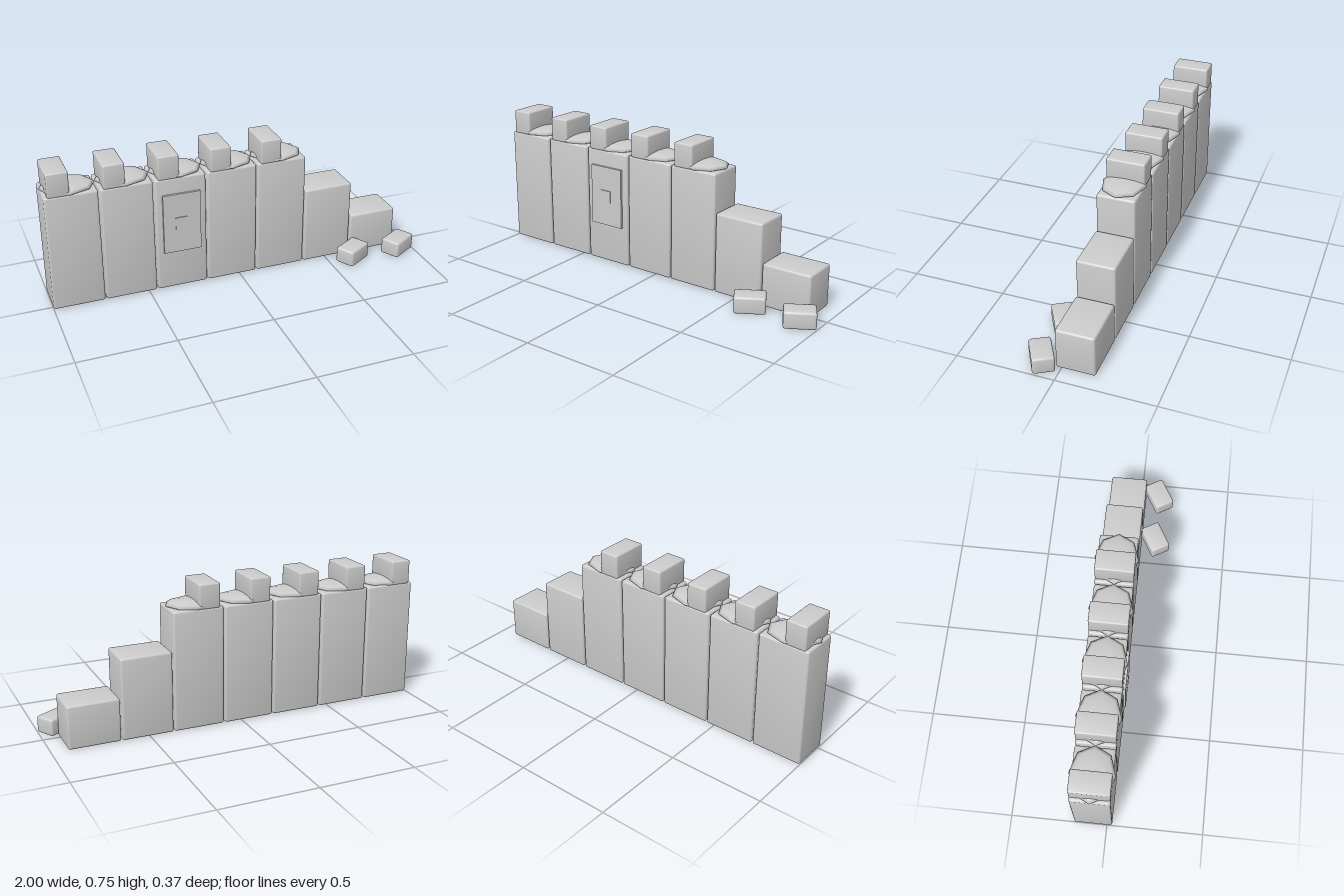
import * as THREE from 'three';
import { RoundedBoxGeometry } from 'three/addons/geometries/RoundedBoxGeometry.js';

export function createModel() {
  const model = new THREE.Group();
  model.name = 'ruinedWall';

  const stone = new THREE.MeshStandardMaterial({ color: 0xcccccc });
  stone.name = 'light grey stone';

  const add = (name, geometry, x, y, z, parent = model) => {
    const mesh = new THREE.Mesh(geometry, stone);
    mesh.name = name;
    mesh.position.set(x, y, z);
    parent.add(mesh);
    return mesh;
  };

  // Rounded block whose normals lean outward at the corners for soft shading
  const block = (w, h, d, r = 0.011) => {
    const geometry = new RoundedBoxGeometry(w, h, d, 2, r);
    const { position, normal } = geometry.attributes;
    const n = new THREE.Vector3(), p = new THREE.Vector3();
    for (let i = 0; i < position.count; i++) {
      p.fromBufferAttribute(position, i);
      n.fromBufferAttribute(normal, i);
      n.add(p.set(Math.sign(p.x), Math.sign(p.y), Math.sign(p.z)).multiplyScalar(0.12)).normalize();
      normal.setXYZ(i, n.x, n.y, n.z);
    }
    return geometry;
  };

  const pitch = 0.2747, firstX = -0.866, wallZ = -0.072;
  const width = 0.267, depth = 0.198;

  // Squashed eight-sided dome, with corners pointing along both axes
  const domeGeometry = new THREE.SphereGeometry(1, 8, 6);
  domeGeometry.scale(0.139, 0.022, 0.112);

  // Five full-height segments, each with a merlon and a low dome
  for (let i = 0; i < 5; i++) {
    const segment = new THREE.Group();
    segment.name = 'wallSegment' + (i + 1);
    segment.position.set(firstX + i * pitch, 0, wallZ);
    model.add(segment);
    add('wallBlock', block(width, 0.625, depth), 0, 0.3125, 0, segment);
    add('merlon', block(0.11, 0.128, depth, 0.008), -0.06, 0.684, 0, segment);
    add('capDome', domeGeometry, 0, 0.632, 0, segment);
  }

  // Broken end, stepping down
  [0.425, 0.225].forEach((h, i) =>
    add('brokenBlock' + (i + 1), block(width, h, depth), firstX + (5 + i) * pitch, h / 2, wallZ));

  // Fallen stones in front
  [0.631, 0.906].forEach((x, i) => {
    const rubble = add('fallenStone' + (i + 1), block(0.158, 0.088, 0.108), x, 0.044, 0.102);
    rubble.rotation.y = Math.PI / 6;
  });

  // Raised plaque with a small square boss
  add('plaque', new THREE.BoxGeometry(0.198, 0.326, 0.016), -0.316, 0.375, 0.031);
  add('plaqueBoss', new THREE.BoxGeometry(0.064, 0.065, 0.008), -0.319, 0.3755, 0.0395);

  return model;
}
